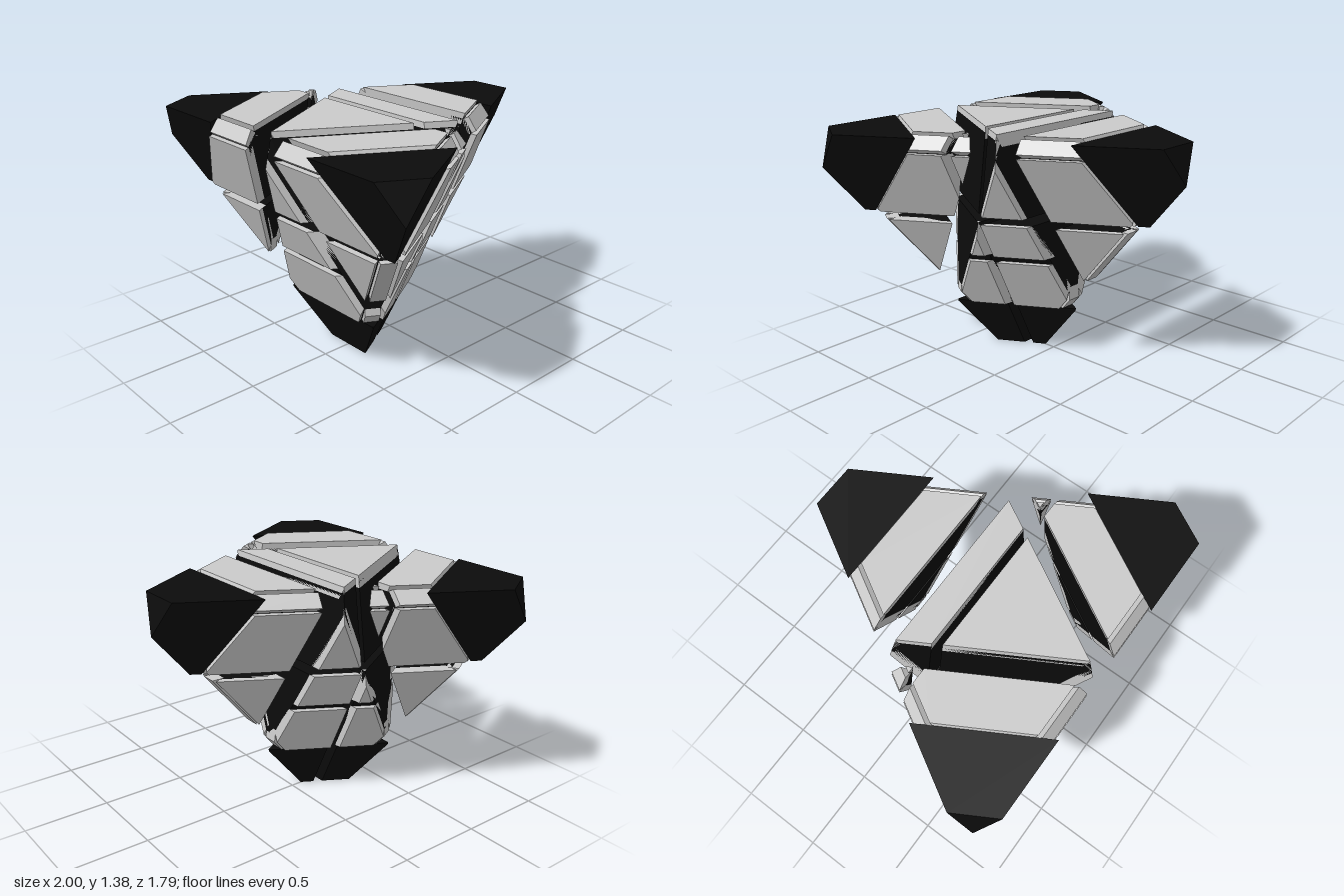
import * as THREE from 'three';
import { ConvexGeometry } from 'three/addons/geometries/ConvexGeometry.js';

const V = (x, y, z) => new THREE.Vector3(x, y, z);
const black = new THREE.MeshStandardMaterial({ color: 0x0b0b0b });
const grey = new THREE.MeshStandardMaterial({ color: 0xcccccc });
const AXIS_Z = 0.24; // vertical axis of the threefold symmetry

// Half-space n.p <= d, with a unit normal
function below(n, d) {
  const l = n.length();
  return { n: n.clone().divideScalar(l), d: d / l };
}
const above = (n, d) => below(n.clone().negate(), -d);
const shift = (p, t) => ({ n: p.n, d: p.d + t });
const flip = (p) => ({ n: p.n.clone().negate(), d: -p.d });

// Plane leaning on the axis: h.(p - axis) + k * y = d
const lean = (make, [hx, hz], k, d) => make(V(hx, k, hz), d + hz * AXIS_Z);

// Convex solid enclosed by half-spaces
function solid(planes) {
  const pts = [];
  const N = planes.length;
  for (let i = 0; i < N; i++) for (let j = i + 1; j < N; j++) for (let k = j + 1; k < N; k++) {
    const [a, b, c] = [planes[i], planes[j], planes[k]];
    const bc = b.n.clone().cross(c.n);
    const det = a.n.dot(bc);
    if (Math.abs(det) < 1e-4) continue;
    const p = bc.multiplyScalar(a.d)
      .addScaledVector(c.n.clone().cross(a.n), b.d)
      .addScaledVector(a.n.clone().cross(b.n), c.d)
      .divideScalar(det);
    if (planes.every((q) => q.n.dot(p) <= q.d + 1e-6) && pts.every((q) => q.distanceTo(p) > 1e-3)) pts.push(p);
  }
  if (pts.length < 4) return null;
  const size = new THREE.Box3().setFromPoints(pts).getSize(V(0, 0, 0));
  if (Math.min(size.x, size.y, size.z) < 0.004) return null;
  return new ConvexGeometry(pts);
}

export function createModel() {
  const model = new THREE.Group();
  const UP = V(0, 1, 0);
  const S = Math.sqrt(3) / 2;
  const corners = { left: [-S, 0.5], right: [S, 0.5], back: [0, -1] };
  const dirs = Object.values(corners);

  // Four faces of the inverted tetrahedron and its blunted tips
  const faces = [below(UP, 1.365), ...dirs.map(([x, z]) => lean(below, [-x, -z], -0.414, 0.087))];
  const tips = [above(UP, 0), ...dirs.map((h) => lean(below, h, 0.28, 1.462))];

  // Edges with their bevel direction and cross direction
  const edges = [];
  faces.forEach((a, i) => faces.slice(i + 1).forEach((b) => {
    edges.push({
      bevel: below(a.n.clone().add(b.n), a.d + b.d),
      across: below(a.n.clone().sub(b.n), a.d - b.d),
    });
  }));

  // Horizontal and upright slits split everything into four quadrants
  const lean2 = V(0, 0.011, 1);
  const quadrants = [];
  for (const y of [above(UP, 0.905), below(UP, 0.855)])
    for (const z of [above(lean2, 0.18), below(lean2, 0.133)]) quadrants.push([y, z]);

  // Central body and three corner blocks
  const cells = [{
    name: 'body',
    walls: dirs.map((h) => lean(below, h, 0.124, 0.449)),
    cap: below(UP, 0.3),
    bands: [[above(UP, 0.3), below(UP, 0.605)], [above(UP, 0.645)]],
  }];
  for (const [name, h] of Object.entries(corners)) {
    const cap = lean(above, h, 0.41, 1.24);
    cells.push({ name: name + 'Corner', walls: [lean(above, h, 0.14, 0.601)], cap, bands: [[flip(cap)]] });
  }

  const core = [
    ...faces.map((f) => shift(f, -0.015)),
    ...edges.map((e) => shift(e.bevel, -0.085)),
    ...tips,
  ];

  for (const cell of cells) {
    const group = new THREE.Group();
    group.name = cell.name;
    model.add(group);
    const add = (name, material, planes) => {
      for (const q of quadrants) {
        const geometry = solid([...planes, ...cell.walls, ...q]);
        if (!geometry) continue;
        const mesh = new THREE.Mesh(geometry, material);
        mesh.name = name;
        group.add(mesh);
      }
    };

    // Dark core block and the dark cap over its tip
    add('coreBlock', black, core);
    add('tipCap', black, [...faces, ...tips, cell.cap]);

    for (const band of cell.bands) {
      // Raised panels on the faces
      faces.forEach((f, i) => {
        const rim = faces.filter((_, j) => j !== i).map((o) => shift(o, -0.09));
        add('facePanel', grey, [shift(f, 0.018), flip(shift(f, -0.05)), ...rim, ...band]);
      });
      // Narrow strips along the bevelled edges
      for (const { bevel, across } of edges) {
        add('edgeStrip', grey, [
          shift(bevel, -0.054), flip(shift(bevel, -0.11)),
          shift(across, 0.043), flip(shift(across, -0.043)),
          ...faces.map((f) => shift(f, 0.018)), ...band,
        ]);
      }
    }
  }
  return model;
}
